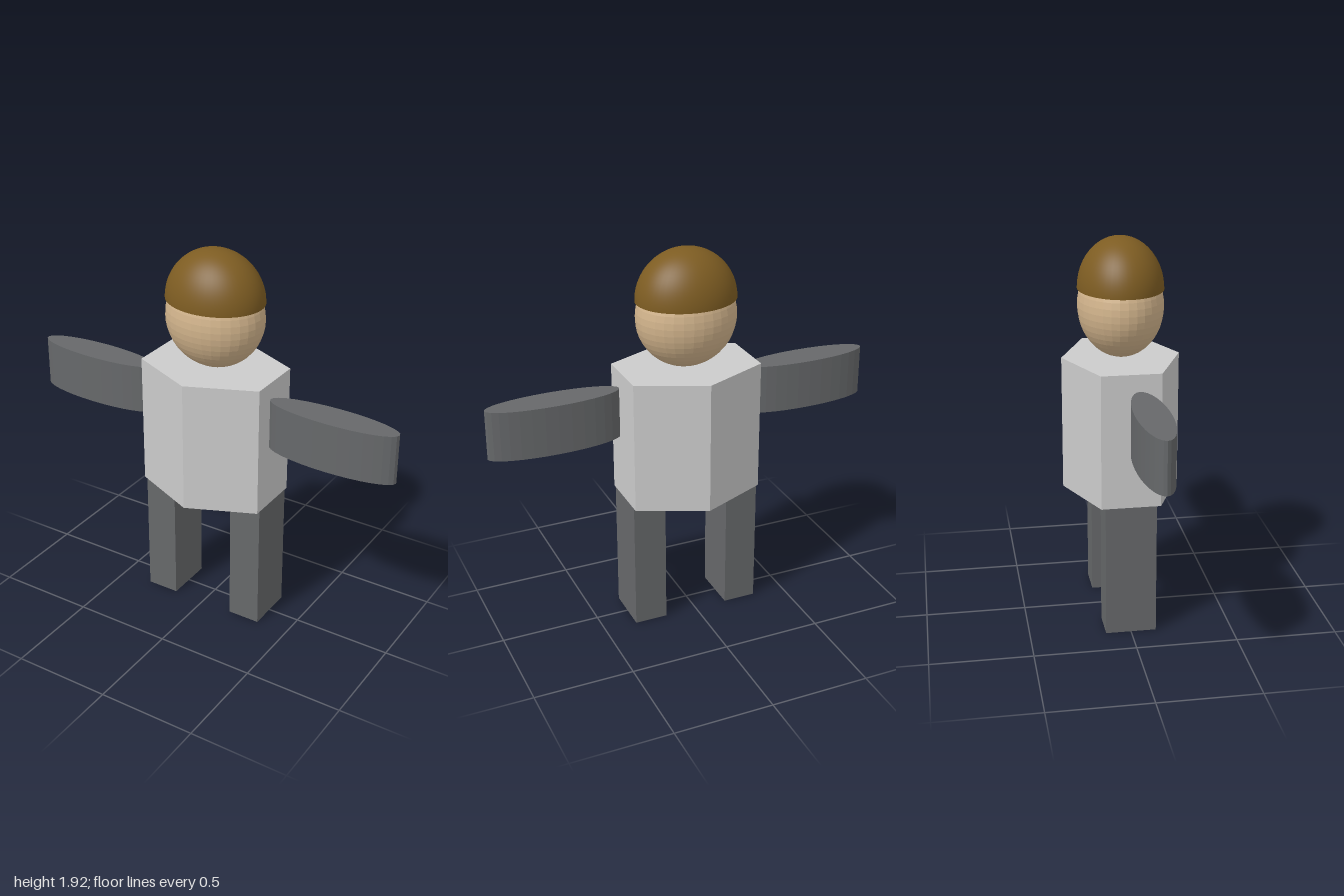
import * as THREE from 'three';

const material = (color, flatShading = true) =>
  new THREE.MeshStandardMaterial({ color, flatShading });

export function createModel() {
  const model = new THREE.Group();
  const grey = material(0xcccccc);
  const dark = material(0x66686a);
  const skin = material(0xd2b48c);
  const brown = material(0x7d5c22, false);

  const add = (name, geometry, mat, x, y, z) => {
    const mesh = new THREE.Mesh(geometry, mat);
    mesh.name = name;
    mesh.position.set(x, y, z);
    model.add(mesh);
    return mesh;
  };

  // Hexagonal torso with a corner facing front and back
  const torso = new THREE.CylinderGeometry(1, 1, 0.667, 6);
  torso.scale(0.333 / Math.sin(Math.PI / 3), 1, 0.29);
  add('torso', torso, grey, 0, 1.0, 0);

  // Arms are flat elliptical discs, legs are plain blocks
  const arm = new THREE.CylinderGeometry(1, 1, 0.25, 32);
  arm.scale(0.333, 1, 0.083);
  const leg = new THREE.BoxGeometry(0.167, 0.667, 0.25);
  for (const [side, s] of [['left', 1], ['right', -1]]) {
    add(side + 'Arm', arm, dark, s * 0.667, 1.125, 0.04);
    add(side + 'Leg', leg, dark, s * 0.25, 0.3335, 0);
  }

  // Head
  const head = new THREE.SphereGeometry(1, 32, 24);
  head.scale(0.25, 0.25, 0.208);
  add('head', head, skin, 0, 1.585, 0);

  // Hair: half ellipsoid dome, closed underneath
  const dome = new THREE.SphereGeometry(1, 48, 20, 0, Math.PI * 2, 0, Math.PI / 2);
  dome.scale(0.25, 0.25, 0.208);
  add('hair', dome, brown, 0, 1.668, 0);
  const base = new THREE.CircleGeometry(1, 48);
  base.rotateX(Math.PI / 2);
  base.scale(0.25, 1, 0.208);
  add('hairUnderside', base, brown, 0, 1.668, 0);

  return model;
}
